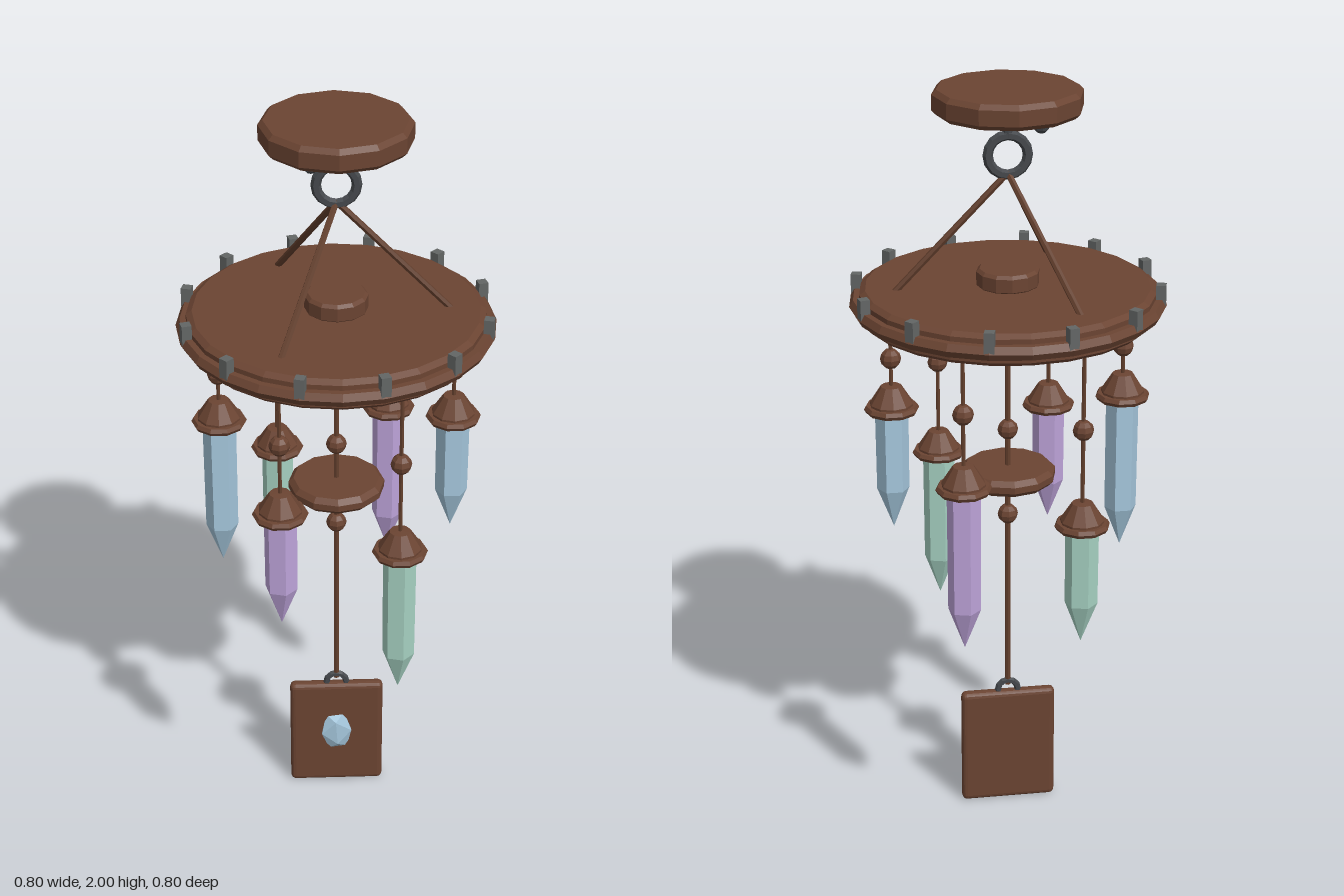
import * as THREE from 'three';
import { RoundedBoxGeometry } from 'three/addons/geometries/RoundedBoxGeometry.js';

const mat = (name, color) => {
  const m = new THREE.MeshStandardMaterial({ color });
  m.name = name;
  return m;
};

export function createModel() {
  const model = new THREE.Group();
  model.name = 'windChime';
  const wood = mat('brown wood', 0x6b4432);
  const cordMat = mat('brown cord', 0x633f2d);
  const iron = mat('dark iron', 0x45484c);
  const clipMetal = mat('grey metal', 0x636665);
  const blue = mat('blue crystal', 0xa6c8de);
  const purple = mat('purple crystal', 0xbea4da);
  const green = mat('green crystal', 0xa6d1c2);

  // faceted normals on every part
  const flat = (geo) => {
    const g = geo.index ? geo.toNonIndexed() : geo;
    g.computeVertexNormals();
    return g;
  };
  const add = (name, geo, material, x = 0, y = 0, z = 0, parent = model) => {
    const mesh = new THREE.Mesh(flat(geo), material);
    mesh.name = name;
    mesh.position.set(x, y, z);
    parent.add(mesh);
    return mesh;
  };
  const lathe = (points, sides) =>
    new THREE.LatheGeometry(points.map(([r, y]) => new THREE.Vector2(r, y)), sides);
  // disc with chamfered edges, from y0 to y1
  const disc = (r, y0, y1, c, sides) =>
    lathe([[0, y0], [r - c, y0], [r, y0 + c], [r, y1 - c], [r - c, y1], [0, y1]], sides);
  const hoop = (r, tube, y, radial, sides) =>
    new THREE.TorusGeometry(r, tube, radial, sides).rotateX(Math.PI / 2).translate(0, y, 0);
  const cord = (name, a, b, r, parent = model) => {
    const from = new THREE.Vector3(...a), to = new THREE.Vector3(...b);
    const dir = to.clone().sub(from);
    const mid = from.clone().add(to).multiplyScalar(0.5);
    const mesh = add(name, new THREE.CylinderGeometry(r, r, dir.length(), 6), cordMat, mid.x, mid.y, mid.z, parent);
    mesh.quaternion.setFromUnitVectors(new THREE.Vector3(0, 1, 0), dir.normalize());
  };
  const bead = (x, y, z, parent = model) =>
    add('bead', new THREE.SphereGeometry(0.027, 8, 6), wood, x, y, z, parent);

  // ceiling mount, hook and ring
  add('ceilingMount', disc(0.188, 1.937, 2, 0.012, 12), wood);
  add('hookStem', new THREE.CylinderGeometry(0.012, 0.012, 0.07, 8), iron, 0, 1.91, 0);
  add('hangingRing', new THREE.TorusGeometry(0.05, 0.013, 6, 16), iron, 0, 1.83, 0);

  // three screws and three suspension cords
  for (let i = 0; i < 3; i++) {
    const a = (i * Math.PI * 2) / 3, c = Math.cos(a), s = Math.sin(a);
    add('mountScrew', new THREE.SphereGeometry(0.02, 8, 6), iron, 0.13 * c, 1.932, 0.13 * s);
    cord('suspensionCord', [0, 1.785, 0], [0.29 * c, 1.485, 0.29 * s], 0.0085);
  }

  // main disc with its rim and hub
  add('mainDisc', lathe([[0, 1.415], [0.365, 1.415], [0.375, 1.425], [0.375, 1.485], [0.36, 1.495], [0, 1.495]], 24), wood);
  add('discRim', hoop(0.381, 0.02, 1.455, 6, 24), wood);
  add('discHub', disc(0.08, 1.49, 1.54, 0.008, 12), wood);

  // metal clips around the rim
  for (let i = 0; i < 12; i++) {
    const a = ((i + 0.5) * Math.PI) / 6;
    const clip = add('rimClip', new THREE.BoxGeometry(0.025, 0.055, 0.025), clipMetal,
      0.386 * Math.cos(a), 1.482, 0.386 * Math.sin(a));
    clip.rotation.y = -a;
  }

  // hanging crystals: x, z, cap height, bead height, tip height, colour, twist
  const X = 0.15, Z = 0.26;
  const chimes = [
    [0.3, 0, 1.18, 1.312, 0.845, blue, Math.PI / 6],
    [-0.3, 0, 1.18, 1.312, 0.752, blue, Math.PI / 6],
    [X, Z, 0.94, 1.195, 0.513, green, 0.26],
    [-X, -Z, 0.94, 1.195, 0.608, green, 0.26],
    [X, -Z, 1.06, 1.255, 0.612, purple, 0.26],
    [-X, Z, 1.06, 1.255, 0.725, purple, 0.26],
  ];
  for (const [x, z, y, beadY, tip, colour, twist] of chimes) {
    const chime = new THREE.Group();
    chime.name = 'chime';
    chime.position.set(x, 0, z);
    model.add(chime);
    cord('chimeCord', [0, 1.42, 0], [0, y + 0.05, 0], 0.0055, chime);
    bead(0, beadY, 0, chime);
    add('chimeCap', lathe([[0, -0.012], [0.056, -0.012], [0.056, 0.012], [0.027, 0.058], [0, 0.06]], 10), wood, 0, y, 0, chime);
    add('capFlange', hoop(0.06, 0.011, y - 0.003, 6, 10), wood, 0, 0, 0, chime);
    const crystal = add('crystal', lathe([[0, tip], [0.042, tip + 0.11], [0.043, y], [0, y]], 6), colour, 0, 0, 0, chime);
    crystal.rotation.y = twist;
  }

  // centre string with beads and striker disc
  cord('centreCord', [0, 1.42, 0], [0, 0.35, 0], 0.0075);
  bead(0, 1.1, 0);
  bead(0, 0.86, 0);
  add('strikerDisc', disc(0.125, 0.957, 1, 0.013, 12), wood);

  // wind plate with loop and gem
  add('plateLoop', new THREE.TorusGeometry(0.027, 0.009, 6, 12), iron, 0, 0.335, 0);
  add('windPlate', new RoundedBoxGeometry(0.255, 0.333, 0.034, 2, 0.014), wood, 0, 0.1665, 0);
  const gem = new THREE.IcosahedronGeometry(1, 0);
  gem.rotateZ(0.1).scale(0.048, 0.07, 0.021);
  add('plateGem', gem, blue, 0, 0.174, 0.013);

  return model;
}
